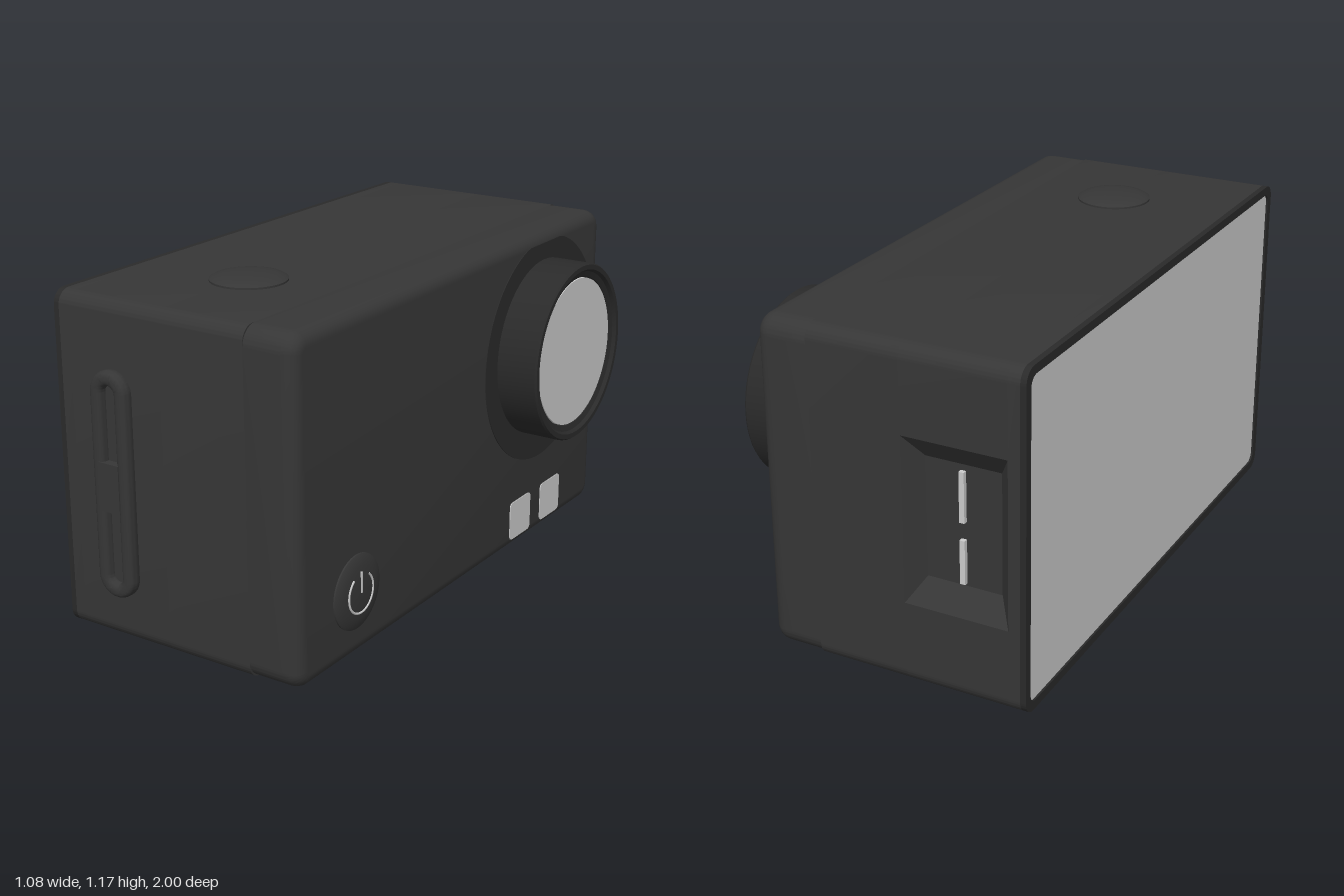
import * as THREE from 'three';
import { toCreasedNormals } from 'three/addons/utils/BufferGeometryUtils.js';

const paint = (color) => new THREE.MeshStandardMaterial({ color, side: THREE.DoubleSide });

// Rounded rectangle between two corners
function roundRect(x0, y0, x1, y1, r, Type = THREE.Shape) {
  const s = new Type();
  s.absarc(x1 - r, y0 + r, r, -Math.PI / 2, 0);
  s.absarc(x1 - r, y1 - r, r, 0, Math.PI / 2);
  s.absarc(x0 + r, y1 - r, r, Math.PI / 2, Math.PI);
  s.absarc(x0 + r, y0 + r, r, Math.PI, Math.PI * 1.5);
  s.closePath();
  return s;
}

// Extrude a shape drawn in (-z, y) along +x, starting at x0
function alongX(shape, x0, depth, bevel = {}) {
  const g = new THREE.ExtrudeGeometry(shape, { depth, bevelEnabled: false, curveSegments: 10, ...bevel });
  g.rotateY(Math.PI / 2).translate(x0, 0, 0);
  return toCreasedNormals(g, 0.6);
}

const lathe = (pts) => toCreasedNormals(
  new THREE.LatheGeometry(pts.map(([r, y]) => new THREE.Vector2(r, y)), 64), 0.5);

export function createModel() {
  const model = new THREE.Group();
  const shell = paint(0x363636), dark = paint(0x2a2a2a), grey = paint(0xcccccc);

  function add(name, geometry, material, parent = model) {
    const m = new THREE.Mesh(geometry, material);
    m.name = name;
    parent.add(m);
    return m;
  }

  // Body: sections along x, the middle one notched for the port recess
  const body = new THREE.Group();
  body.name = 'body';
  model.add(body);
  const outline = () => roundRect(-0.96, 0, 1, 1.15, 0.05);
  const notched = new THREE.Shape();
  notched.absarc(0.95, 0.05, 0.05, -Math.PI / 2, 0);
  [[1, 0.29], [0.94, 0.29], [0.94, 0.86], [1, 0.86]].forEach(([u, v]) => notched.lineTo(u, v));
  notched.absarc(0.95, 1.1, 0.05, 0, Math.PI / 2);
  notched.absarc(-0.91, 1.1, 0.05, Math.PI / 2, Math.PI);
  notched.absarc(-0.91, 0.05, 0.05, Math.PI, Math.PI * 1.5);
  add('rearSection', alongX(outline(), -0.52, 0.04), shell, body);
  add('portSection', alongX(notched, -0.48, 0.36), shell, body);
  add('middleSection', alongX(outline(), -0.12, 0.32), shell, body);
  add('frontSection', alongX(roundRect(-0.915, 0.045, 0.955, 1.105, 0.02), 0.2, 0.135,
    { bevelEnabled: true, bevelThickness: 0.05, bevelSize: 0.045, bevelSegments: 5 }), shell, body);

  // Screen framed by a narrow rim
  const rim = outline();
  rim.holes.push(roundRect(-0.93, 0.03, 0.97, 1.12, 0.035, THREE.Path));
  add('screenRim', alongX(rim, -0.54, 0.02), dark);
  add('screen', alongX(roundRect(-0.93, 0.03, 0.97, 1.12, 0.035), -0.533, 0.013), grey);

  // Lens base plate: a disc cut flat at the top and at the side
  const plate = new THREE.Shape();
  const cu = 0.56, cv = 0.72, pr = 0.41;
  for (let i = 0; i < 96; i++) {
    const a = (i / 96) * Math.PI * 2;
    const u = Math.min(cu + pr * Math.cos(a), 0.945), v = Math.min(cv + pr * Math.sin(a), 1.113);
    i ? plate.lineTo(u, v) : plate.moveTo(u, v);
  }
  add('lensPlate', alongX(plate, 0.37, 0.018), dark);

  // Lens barrel and glass, turned about x
  const lens = new THREE.Group();
  lens.name = 'lens';
  lens.rotation.z = -Math.PI / 2;
  lens.position.set(0.38, 0.733, -0.55);
  model.add(lens);
  add('lensBarrel', lathe([[0.32, 0], [0.32, 0.153], [0.315, 0.16], [0.298, 0.16],
    [0.29, 0.148], [0.27, 0.142], [0.265, 0.12]]), dark, lens);
  add('lensGlass', new THREE.CylinderGeometry(0.266, 0.266, 0.02, 64), grey, lens).position.y = 0.132;

  // Domed buttons
  const dome = (r, h) => lathe([[r, -0.01], [r, h * 0.25], [r * 0.92, h * 0.5], [r * 0.7, h * 0.78],
    [r * 0.4, h * 0.95], [0, h]]);
  add('shutterButton', dome(0.128, 0.025), shell).position.set(-0.1, 1.15, 0.53);
  const power = new THREE.Group();
  power.name = 'powerButton';
  power.position.set(0.385, 0.23, 0.645);
  model.add(power);
  add('powerButtonCap', dome(0.127, 0.022), shell, power).rotation.z = -Math.PI / 2;
  // Open ring and tick on the cap
  const arc = add('powerRing', new THREE.TorusGeometry(0.068, 0.004, 6, 40, Math.PI * 1.6), grey, power);
  arc.rotation.set(0, Math.PI / 2, Math.PI * 0.7, 'YXZ');
  arc.position.x = 0.0195;
  add('powerTick', new THREE.BoxGeometry(0.006, 0.072, 0.007), grey, power).position.set(0.0205, 0.037, 0);

  // Two small windows low on the lens side
  for (const u of [0.355, 0.582]) {
    add('sensorWindow', alongX(roundRect(u, 0.037, u + 0.15, 0.182, 0.018), 0.37, 0.018), grey);
  }

  // Raised slotted loop with a crossbar
  const loop = roundRect(-0.055, -0.365, 0.055, 0.365, 0.0549);
  loop.holes.push(roundRect(-0.043, -0.353, 0.043, 0.353, 0.0429, THREE.Path));
  const loopGeo = new THREE.ExtrudeGeometry(loop, { depth: 0.012, bevelThickness: 0.02,
    bevelSize: 0.019, bevelSegments: 4, curveSegments: 14 });
  add('sideLoop', toCreasedNormals(loopGeo, 0.7), shell).position.set(-0.31, 0.545, 0.965);
  add('loopSlotFloor', new THREE.BoxGeometry(0.06, 0.68, 0.012), shell).position.set(-0.31, 0.545, 0.964);
  add('loopCrossbar', new THREE.BoxGeometry(0.08, 0.165, 0.04), shell).position.set(-0.312, 0.543, 0.98);

  // Port recess with sloping walls and two slim contacts
  const funnel = new THREE.CylinderGeometry(Math.SQRT1_2, Math.SQRT1_2 * 0.72, 0.06, 4, 1, true, Math.PI / 4)
    .toNonIndexed();
  funnel.scale(0.36, 1, 0.57).rotateX(-Math.PI / 2);
  funnel.computeVertexNormals();
  add('portRecess', funnel, shell).position.set(-0.3, 0.575, -0.97);
  for (const [y, h] of [[0.675, 0.17], [0.455, 0.15]]) {
    add('portContact', new THREE.BoxGeometry(0.018, h, 0.02), grey).position.set(-0.3, y, -0.945);
  }
  return model;
}
